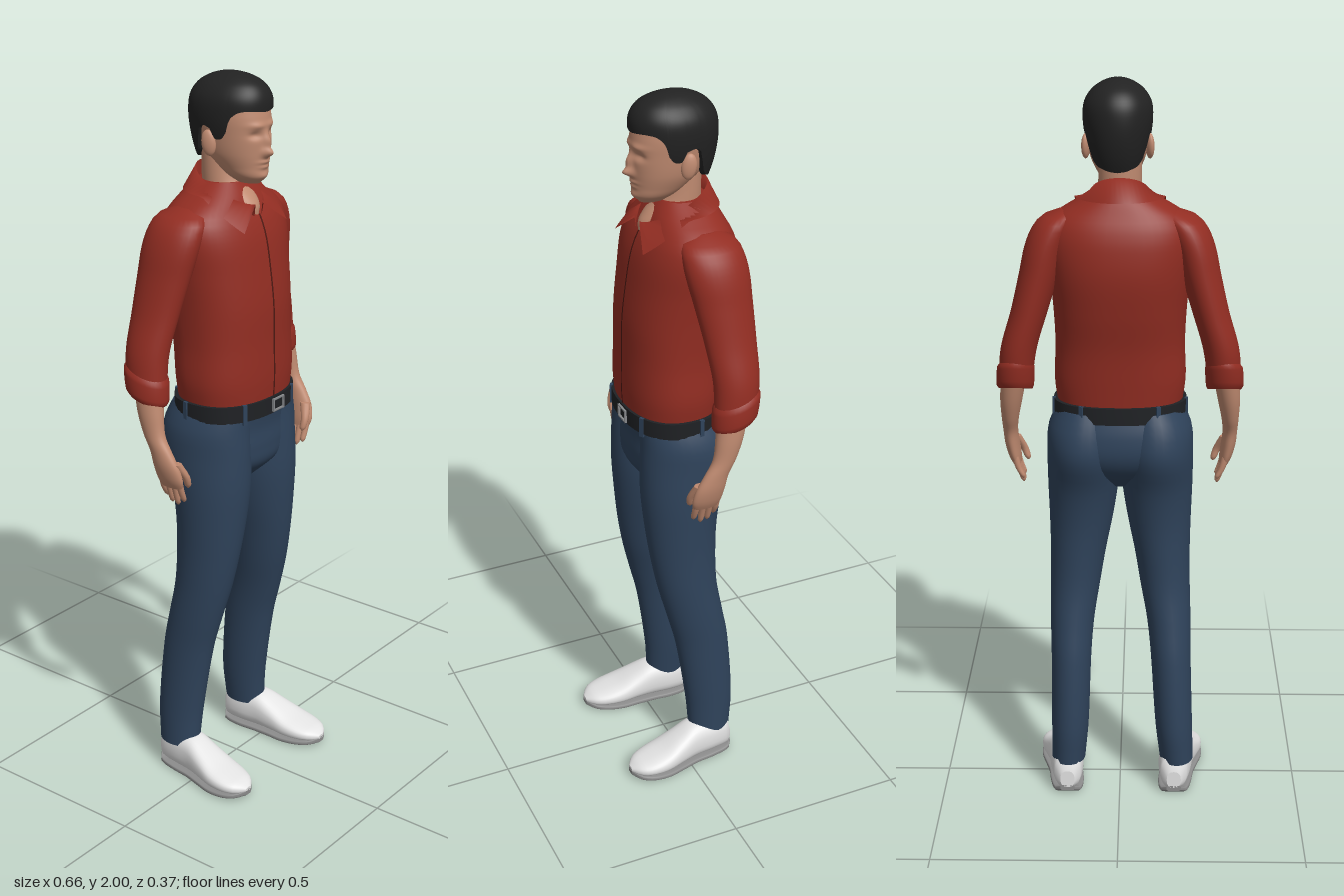
import * as THREE from 'three';

const mat = (name, color) => {
  const m = new THREE.MeshStandardMaterial({ color });
  m.name = name;
  return m;
};

// Smooth lookup in a table whose first column is the position
function sample(rows, t) {
  let i = 0;
  while (i < rows.length - 2 && t > rows[i + 1][0]) i++;
  const a = rows[Math.max(i - 1, 0)], b = rows[i], c = rows[i + 1], d = rows[Math.min(i + 2, rows.length - 1)];
  const u = THREE.MathUtils.clamp((t - b[0]) / (c[0] - b[0]), 0, 1);
  const slope = (p, q, k) => (q[k] - p[k]) / (q[0] - p[0]) * (c[0] - b[0]);
  return b.map((v, k) => {
    const m0 = slope(a, c, k), m1 = slope(b, d, k);
    return (2 * u ** 3 - 3 * u * u + 1) * v + (u ** 3 - 2 * u * u + u) * m0
      + (3 * u * u - 2 * u ** 3) * c[k] + (u ** 3 - u * u) * m1;
  });
}

// Skin a grid of points; rings close on themselves when closed is true
function skin(rings, closed = true) {
  const n = rings[0].length, index = [];
  for (let i = 0; i < rings.length - 1; i++) {
    for (let j = 0; j < (closed ? n : n - 1); j++) {
      const k = (j + 1) % n, a = i * n + j, b = i * n + k;
      index.push(a, b, a + n, b, b + n, a + n);
    }
  }
  const g = new THREE.BufferGeometry();
  g.setAttribute('position', new THREE.Float32BufferAttribute(rings.flat(2), 3));
  g.setIndex(index);
  g.computeVertexNormals();
  return g;
}

const power = (v, p) => Math.sign(v) * Math.abs(v) ** p;

// Point on a section [y, centreX, halfWidth, frontZ, backZ]
function onSection([y, cx, rx, zf, zb], a, p = 1) {
  return [cx + rx * power(Math.sin(a), p), y, (zf + zb) / 2 + (zf - zb) / 2 * power(Math.cos(a), p)];
}

// Stack sections upward into a capped solid; warp adjusts each point
function loft(rows, { n = 32, m = 28, p = 1, side = 1, warp = q => q } = {}) {
  const rings = [], y0 = rows[0][0], y1 = rows[rows.length - 1][0];
  for (let i = 0; i <= m; i++) {
    const s = sample(rows, y0 + (y1 - y0) * i / m);
    s[1] *= side;
    rings.push(Array.from({ length: n }, (_, j) => warp(onSection(s, j / n * Math.PI * 2, p))));
  }
  const cap = ring => {
    const c = [0, 1, 2].map(k => ring.reduce((t, q) => t + q[k], 0) / n);
    return ring.map(() => c);
  };
  const first = rings[0], last = rings[m];
  return skin([cap(first), first, ...rings, last, cap(last)]);
}

export function createModel() {
  const model = new THREE.Group();
  model.name = 'standingMan';
  const shirt = mat('shirt red', 0x922d22), line = mat('placket dark red', 0x4c1812);
  const denim = mat('trouser blue', 0x2f435b), flesh = mat('skin', 0xbf8a70);
  const hairMat = mat('hair black', 0x222222), leather = mat('belt black', 0x1f2124);
  const metal = mat('buckle grey', 0x85878a), white = mat('shoe white', 0xe4e4e4);
  const rubber = mat('sole grey', 0x8c8c8c);
  shirt.side = THREE.DoubleSide;
  const add = (name, geometry, material, parent = model) => {
    const mesh = new THREE.Mesh(geometry, material);
    mesh.name = name;
    parent.add(mesh);
    return mesh;
  };

  // Shirt body
  const torso = [
    [1.13, 0, .168, .118, -.13], [1.2, 0, .177, .122, -.137], [1.3, 0, .174, .12, -.148],
    [1.4, 0, .178, .118, -.168], [1.5, 0, .187, .106, -.182], [1.58, 0, .195, .092, -.178],
    [1.63, 0, .188, .074, -.165], [1.66, 0, .163, .056, -.15], [1.69, 0, .113, .04, -.135],
    [1.72, 0, .068, .018, -.115]];
  add('shirtBody', loft(torso, { n: 48, m: 40, p: .85 }), shirt);

  // Front closing edge of the shirt
  const edge = [];
  for (let i = 0; i <= 24; i++) {
    const y = 1.135 + .505 * i / 24, z = sample(torso, y)[3] + .003;
    edge.push([[.002, y, z], [.008, y, z]]);
  }
  add('placketEdge', skin(edge, false), line);

  // Folded collar with two points
  const collar = [[], [], []];
  for (let j = 0; j <= 40; j++) {
    const u = j / 40, a = THREE.MathUtils.lerp(.2, Math.PI * 2 - .2, u);
    const b = THREE.MathUtils.lerp(.86, Math.PI * 2 - .86, u);
    const c = Math.cos(a), d = Math.cos(b);
    const top = [.074 * Math.sin(a), 1.712 - .045 * c, -.028 + .09 * c + (c > 0 ? .014 * c : 0)];
    collar[0].push([.12 * Math.sin(b), 1.695 - .13 * Math.max(0, d), -.02 + (d > 0 ? .18 : .127) * d]);
    collar[1].push(top);
    collar[2].push([top[0] * .92, top[1] - .05, top[2] * .92]);
  }
  add('collar', skin(collar, false), shirt);

  // Hips, belt and buckle
  add('hips', loft([
    [.9, 0, .03, .05, -.06], [.95, 0, .15, .098, -.12], [1.0, 0, .194, .106, -.148],
    [1.06, 0, .193, .105, -.15], [1.125, 0, .172, .114, -.134]], { n: 40, p: .9 }), denim);
  const beltRow = y => [y, 0, .18, .126, -.142];
  add('belt', loft([beltRow(1.1), beltRow(1.146)], { n: 48, m: 2, p: .85 }), leather);
  for (const a of [.55, -.55, 1.7, -1.7, 2.6, -2.6]) {
    const [x, , z] = onSection(beltRow(1.12), a, .85);
    const loop = add('beltLoop', new THREE.BoxGeometry(.012, .056, .008), denim);
    loop.position.set(x, 1.12, z);
    loop.rotation.y = a;
  }
  const buckle = new THREE.Group();
  buckle.name = 'buckle';
  buckle.position.set(.018, 1.123, .129);
  model.add(buckle);
  for (const s of [-1, 1]) {
    add('buckleBar', new THREE.BoxGeometry(.046, .004, .006), metal, buckle).position.y = s * .016;
    add('buckleEnd', new THREE.BoxGeometry(.004, .036, .006), metal, buckle).position.x = s * .022;
  }

  for (const side of [1, -1]) {
    const label = side > 0 ? 'left' : 'right';
    const put = (name, rows, material, options = {}) =>
      add(label + name, loft(rows, { side, ...options }), material);

    // Trouser leg; the right one stands slightly wider
    put('Leg', [
      [.09, .146, .047, -.018, -.142], [.2, .141, .052, -.01, -.15], [.4, .137, .056, .02, -.136],
      [.5, .134, .061, .045, -.118], [.6, .126, .069, .07, -.102], [.7, .117, .077, .088, -.1],
      [.8, .108, .088, .1, -.106], [.9, .102, .097, .108, -.125], [1.0, .099, .1, .108, -.16],
      [1.07, .097, .098, .105, -.152], [1.125, .09, .082, .105, -.13]], denim,
    { m: 44, warp: ([x, y, z]) => [side < 0 && y < .6 ? x - .018 * (1 - y / .6) : x, y, z] });

    // Shoe and sole, lofted heel to toe and laid flat
    const shoe = [
      [-.142, .148, .02, -.02, -.07], [-.13, .148, .036, -.012, -.112], [-.08, .151, .046, -.01, -.122],
      [-.02, .157, .048, -.01, -.12], [.03, .164, .054, -.01, -.097], [.08, .17, .06, -.01, -.073],
      [.13, .174, .055, -.013, -.058], [.165, .175, .038, -.017, -.048], [.183, .174, .012, -.022, -.035]];
    const lay = mesh => { mesh.geometry.rotateX(Math.PI / 2); mesh.position.x = side < 0 ? -.006 : 0; };
    lay(put('Shoe', shoe, white, { p: .8 }));
    lay(put('Sole', shoe.map(([z, x, r, b]) => [z, x, r * 1.02, b + .01, b - .006]), rubber, { p: .45 }));

    // Sleeve and rolled cuff
    put('Sleeve', [
      [1.21, .279, .045, -.022, -.135], [1.3, .268, .048, -.022, -.147], [1.4, .239, .049, -.01, -.15],
      [1.5, .212, .053, .008, -.15], [1.57, .194, .056, .022, -.148], [1.62, .173, .056, .025, -.14],
      [1.65, .152, .048, .015, -.125], [1.667, .13, .025, -.02, -.09]], shirt);
    put('Cuff', [[1.185, .279, .045, -.02, -.133], [1.195, .28, .05, -.015, -.139],
      [1.245, .277, .05, -.017, -.146], [1.255, .275, .045, -.022, -.142]], shirt,
    { m: 8, warp: ([x, y, z]) => [x, y - (z + .08) * .3, z] });

    // Forearm and palm
    put('Forearm', [
      [.95, .284, .012, .04, -.028], [.97, .289, .017, .046, -.036], [1.01, .296, .02, .038, -.044],
      [1.05, .299, .02, .016, -.052], [1.09, .298, .023, -.008, -.072], [1.15, .293, .03, -.018, -.094],
      [1.24, .281, .036, -.028, -.115]], flesh);

    // Fingers and thumb
    [[.032, .906], [.012, .893], [-.007, .897], [-.025, .912]].forEach(([z, tip], i) => {
      const f = (y, x, r) => [y, x, r, z + r, z - r];
      put('Finger' + (i + 1), [f(tip, .266, .002), f(tip + .006, .267, .007), f(.94, .278, .009),
        f(.975, .288, .01)], flesh, { n: 12, m: 12 });
    });
    put('Thumb', [[.945, .256, .002, .04, .036], [.952, .257, .008, .047, .03], [.98, .267, .011, .05, .028],
      [1.02, .288, .014, .04, .008]], flesh, { n: 14, m: 12 });
  }

  // Neck and open throat
  add('neck', loft([[1.635, 0, .03, .07, -.09], [1.66, 0, .05, .068, -.095], [1.685, 0, .058, .05, -.1],
    [1.72, 0, .057, .018, -.1], [1.8, 0, .056, .0, -.1]]), flesh);

  const head = new THREE.Group();
  head.name = 'head';
  head.position.x = .006;
  model.add(head);

  // Face: each bump is [x, y, width, height, depth]
  const bumps = [
    [0, 1.803, .013, .012, .022], [0, 1.83, .009, .022, .014], [.031, 1.85, .016, .01, -.009],
    [-.031, 1.85, .016, .01, -.009], [.028, 1.874, .022, .008, .005], [-.028, 1.874, .022, .008, .005],
    [0, 1.778, .02, .005, .006], [0, 1.765, .017, .005, .005], [0, 1.74, .02, .01, .005]];
  const face = ([x, y, z]) => {
    if (z > 0) for (const [bx, by, w, h, d] of bumps) z += d * Math.exp(-(((x - bx) / w) ** 2) - ((y - by) / h) ** 2);
    return [x, y, z];
  };
  add('face', loft([
    [1.72, 0, .022, .07, .0], [1.74, 0, .046, .085, -.03], [1.765, 0, .06, .087, -.065],
    [1.8, 0, .073, .09, -.1], [1.85, 0, .08, .092, -.12], [1.9, 0, .083, .087, -.125],
    [1.95, 0, .073, .07, -.11], [1.985, 0, .035, .03, -.07]], { n: 96, m: 80, p: .95, warp: face }), flesh, head);
  for (const s of [1, -1]) {
    const ear = add(s > 0 ? 'leftEar' : 'rightEar', new THREE.SphereGeometry(1, 16, 12), flesh, head);
    ear.scale.set(.011, .034, .02);
    ear.position.set(s * .083, 1.826, -.03);
    ear.rotation.set(-.15, s * -.3, 0);
  }

  // Short hair with a hairline set by the angle from the front
  const shape = [
    [1.75, 0, .055, .0, -.105], [1.8, 0, .072, .05, -.126], [1.85, 0, .085, .088, -.138],
    [1.9, 0, .091, .093, -.141], [1.94, 0, .087, .092, -.134], [1.97, 0, .068, .075, -.112],
    [1.988, 0, .043, .046, -.08], [1.997, 0, .02, .012, -.048], [2.0, 0, .001, -.017, -.019]];
  const hairline = [[0, 1.908], [45, 1.912], [62, 1.89], [70, 1.845], [84, 1.84], [90, 1.865],
    [108, 1.862], [117, 1.8], [150, 1.775], [180, 1.768]];
  const hair = [];
  for (let i = 0; i <= 26; i++) {
    hair.push(Array.from({ length: 96 }, (_, j) => {
      const a = j / 96 * Math.PI * 2, deg = Math.abs(j > 48 ? j - 96 : j) * 3.75;
      const low = sample(hairline, deg)[1];
      return onSection(sample(shape, low + (2 - low) * Math.sin(i / 26 * Math.PI / 2)), a, .95);
    }));
  }
  const under = hair[0].map(([x, y, z]) => [x * .85, y, -.02 + (z + .02) * .85]);
  add('hair', skin([under, hair[0], ...hair]), hairMat, head);

  return model;
}
